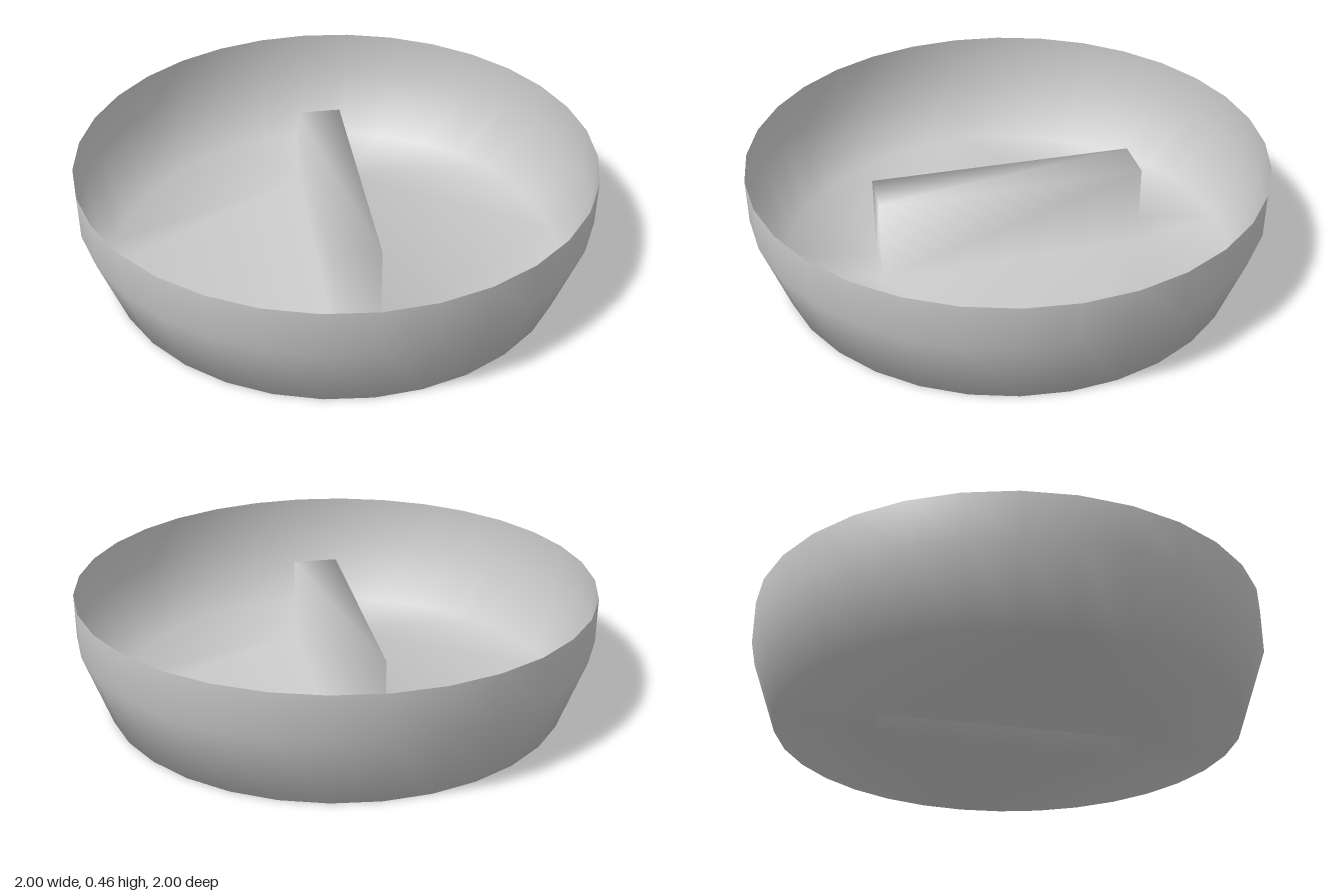
import * as THREE from 'three';

const SIDES = 32;

export function createModel() {
  const group = new THREE.Group();
  group.name = 'dialKnob';
  const grey = new THREE.MeshStandardMaterial({ color: 0xc8c8c8, side: THREE.DoubleSide });
  grey.name = 'light grey';

  const points = [];
  const index = [];
  const tri = (a, b, c) => index.push(a, b, c);
  const addPoint = (x, y, z) => points.push(x, y, z) / 3 - 1;

  // Ring of wall corners, running from +z towards +x
  const ring = (r, y) => Array.from({ length: SIDES }, (_, i) => {
    const a = (i / SIDES) * Math.PI * 2;
    return addPoint(Math.sin(a) * r, y, Math.cos(a) * r);
  });
  // Four corners of the grip bar at one height, in the same direction
  const rect = (w, d, y) =>
    [[1, 1], [1, -1], [-1, -1], [-1, 1]].map(([sx, sz]) => addPoint(sx * w, y, sz * d));
  // Band of faces joining two loops
  const band = (low, high) => low.forEach((a, i) => {
    const j = (i + 1) % low.length;
    tri(a, low[j], high[i]);
    tri(low[j], high[j], high[i]);
  });

  // Outer wall: sloped foot, then upright rim
  const foot = ring(0.9, 0);
  const middle = ring(1, 0.285);
  const rim = ring(1, 0.457);
  band(foot, middle);
  band(middle, rim);

  // Floor: a fan from each bar corner to its quarter of the foot, bridged at the axes
  const base = rect(0.09, 0.52, 0);
  const top = rect(0.09, 0.52, 0.335);
  const quarter = SIDES / 4;
  foot.forEach((p, i) => tri(base[Math.floor(i / quarter)], foot[(i + 1) % SIDES], p));
  base.forEach((c, k) => tri(base[(k + 3) % 4], c, foot[k * quarter]));

  // Raised grip bar, hollow from below
  band(top, base);
  tri(top[0], top[2], top[1]);
  tri(top[0], top[3], top[2]);

  const geometry = new THREE.BufferGeometry();
  geometry.setAttribute('position', new THREE.Float32BufferAttribute(points, 3));
  geometry.setIndex(index);
  geometry.computeVertexNormals();
  const shell = new THREE.Mesh(geometry, grey);
  shell.name = 'dishWithGripBar';
  group.add(shell);
  return group;
}
